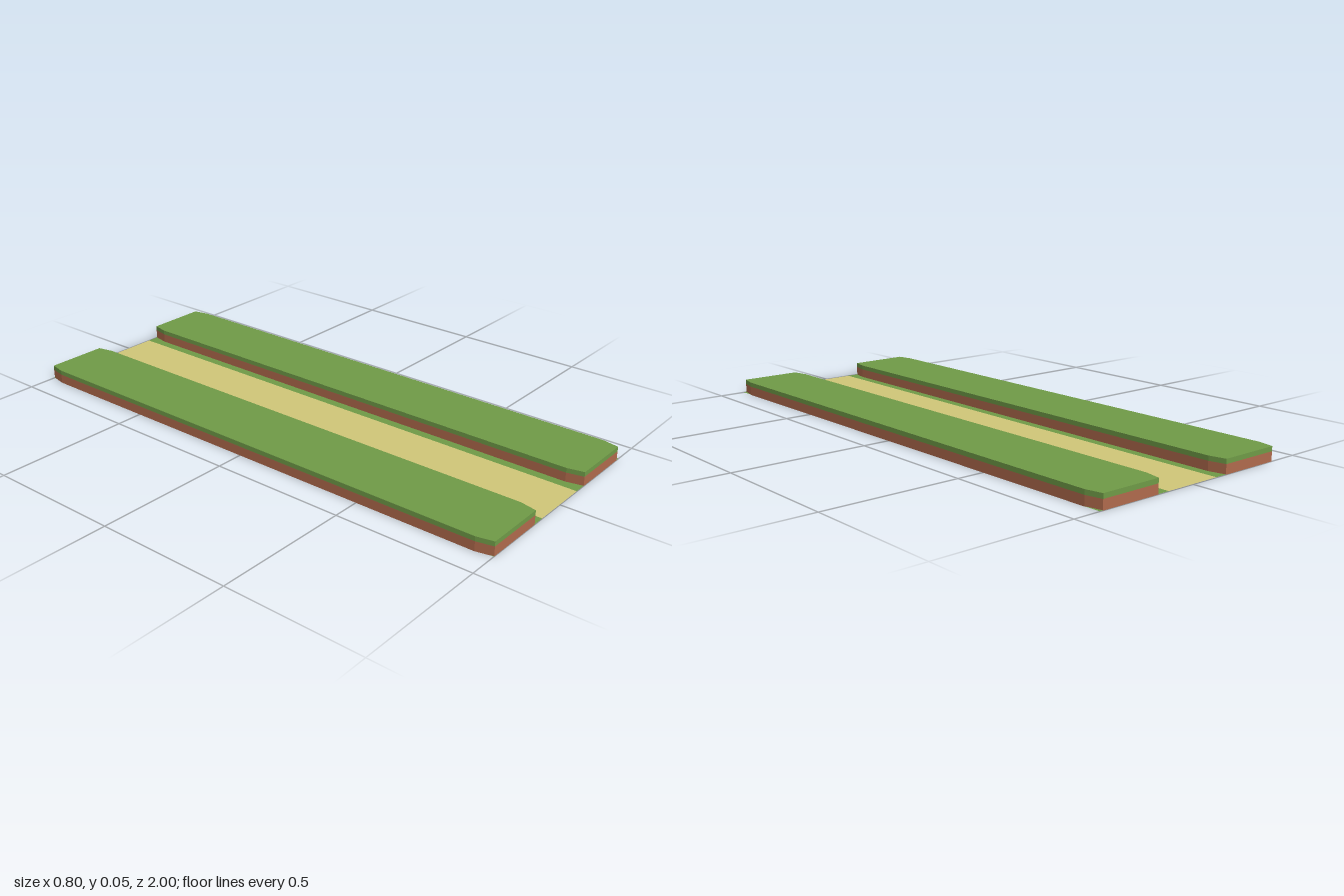
import * as THREE from 'three';

const grass = new THREE.MeshStandardMaterial({ color: 0x6f9a47, side: THREE.DoubleSide });
const soil = new THREE.MeshStandardMaterial({ color: 0xb06a4c });
const sand = new THREE.MeshStandardMaterial({ color: 0xd0c678, side: THREE.DoubleSide });

const IN = 0.143, OUT = 0.4, SOIL_TOP = 0.034, TOP = 0.051;

// Long slab with cut corners, standing from y0 to y1
function slab(name, y0, y1, material) {
  const cx = 0.013, cz = 0.06;
  const shape = new THREE.Shape([
    [IN, -1 + cz], [IN + cx, -1], [OUT - cx, -1], [OUT, -1 + cz],
    [OUT, 1 - cz], [OUT - cx, 1], [IN + cx, 1], [IN, 1 - cz],
  ].map(([x, z]) => new THREE.Vector2(x, z)));
  const geometry = new THREE.ExtrudeGeometry(shape, { depth: y1 - y0, bevelEnabled: false });
  geometry.rotateX(-Math.PI / 2).translate(0, y0, 0);
  const mesh = new THREE.Mesh(geometry, material);
  mesh.name = name;
  return mesh;
}

// Flat strip of ground between two x positions
function strip(name, x0, x1, material) {
  const geometry = new THREE.PlaneGeometry(x1 - x0, 2);
  geometry.rotateX(-Math.PI / 2).translate((x0 + x1) / 2, 0.001, 0);
  const mesh = new THREE.Mesh(geometry, material);
  mesh.name = name;
  return mesh;
}

export function createModel() {
  const model = new THREE.Group();
  model.name = 'sunkenPath';

  // Sandy path with grass verges reaching under the banks
  model.add(strip('path', -0.11, 0.11, sand));
  model.add(strip('leftVerge', 0.11, 0.4, grass));
  model.add(strip('rightVerge', -0.39, -0.11, grass));

  // Raised bank on each side: soil below, turf on top
  for (const [name, turn] of [['leftBank', 0], ['rightBank', Math.PI]]) {
    const bank = new THREE.Group();
    bank.name = name;
    bank.add(slab('soil', 0, SOIL_TOP, soil), slab('turf', SOIL_TOP, TOP, grass));
    bank.rotation.y = turn;
    model.add(bank);
  }
  return model;
}
